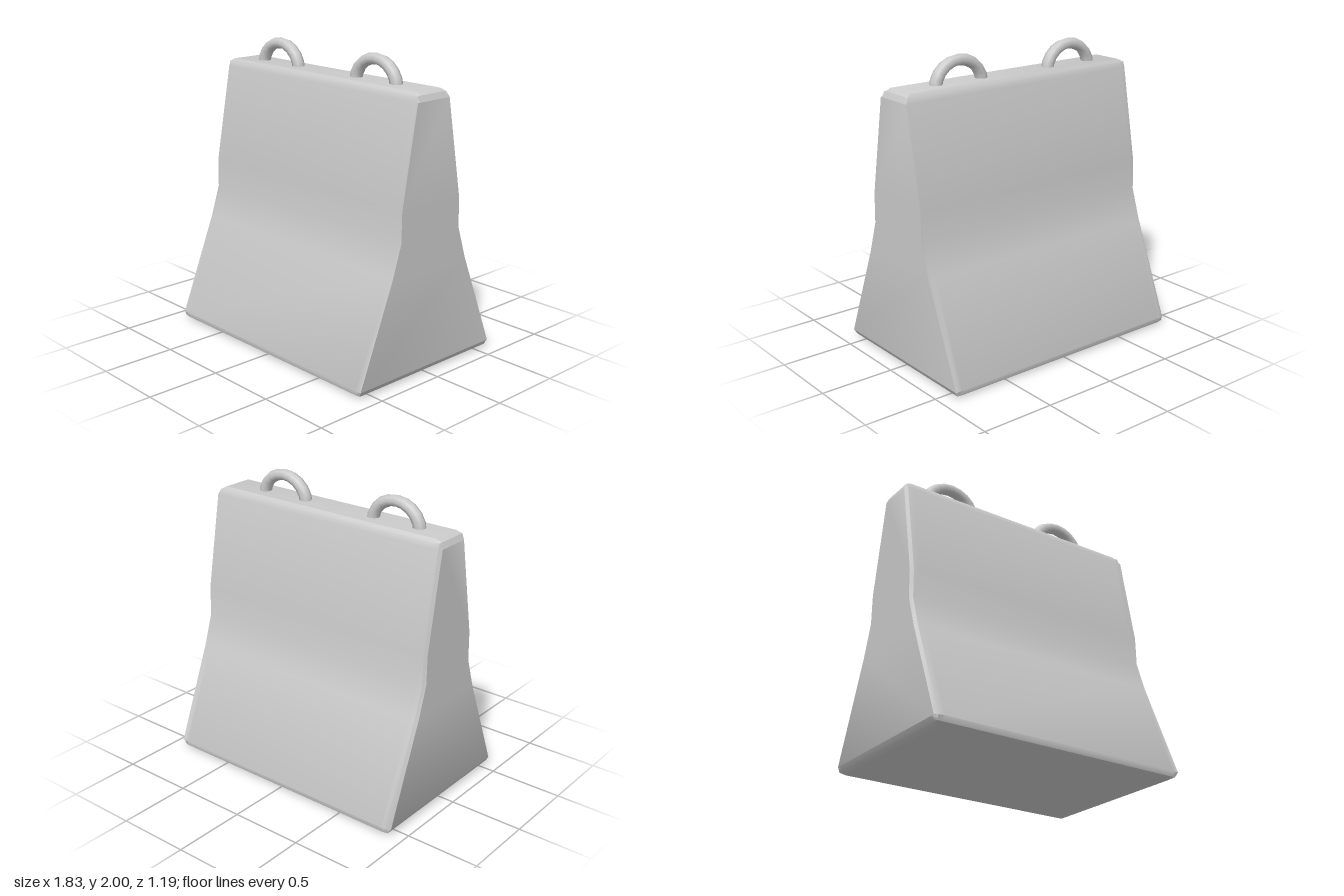
import * as THREE from 'three';
import { toCreasedNormals } from 'three/addons/utils/BufferGeometryUtils.js';

// Half of the barrier's cross-section, bottom to top: [half depth, height]
const PROFILE = [
  [0.555, 0], [0.585, 0.015], [0.595, 0.05], [0.33, 0.71], [0.262, 0.92],
  [0.258, 1.12], [0.14, 1.77], [0.128, 1.805], [0.107, 1.825],
];

// Sections along the length: x, lowest y, highest y, depth inset
const STATIONS = [
  [-0.915, 0.05, 1.77, 0.025], [-0.897, 0.018, 1.808, 0.005], [-0.86, 0, 1.825, 0],
  [0.86, 0, 1.825, 0], [0.893, 0.018, 1.808, 0], [0.91, 0.05, 1.77, 0],
];

function barrierGeometry() {
  const half = PROFILE.length;
  const n = half * 2;
  const positions = [];
  const index = [];

  for (const [x, low, high, inset] of STATIONS) {
    const points = PROFILE.map(([z, y]) => [z - inset, THREE.MathUtils.clamp(y, low, high)]);
    for (const [z, y] of points) positions.push(x, y, z);
    for (const [z, y] of points.reverse()) positions.push(x, y, -z);
  }

  // Skin between neighbouring sections
  for (let i = 0; i < STATIONS.length - 1; i++) {
    for (let j = 0; j < n; j++) {
      const k = (j + 1) % n;
      const a = i * n + j, b = i * n + k, c = b + n, d = a + n;
      index.push(a, d, c, a, c, b);
    }
  }

  // Flat ends, as strips from the front half to the back half
  const last = (STATIONS.length - 1) * n;
  for (let j = 2; j < half - 3; j++) {
    const a = j, b = j + 1, c = n - 2 - j, d = n - 1 - j;
    index.push(a, b, c, a, c, d);
    index.push(last + a, last + c, last + b, last + a, last + d, last + c);
  }

  const geometry = new THREE.BufferGeometry();
  geometry.setAttribute('position', new THREE.Float32BufferAttribute(positions, 3));
  geometry.setIndex(index);
  return toCreasedNormals(geometry, THREE.MathUtils.degToRad(38));
}

export function createModel() {
  const model = new THREE.Group();
  model.name = 'concreteBarrier';
  const material = new THREE.MeshStandardMaterial({ color: 0xcccccc });

  const body = new THREE.Mesh(barrierGeometry(), material);
  body.name = 'barrierBody';
  model.add(body);

  // Two lifting loops sunk slightly into the top
  const loop = new THREE.TorusGeometry(0.18, 0.042, 8, 10, Math.PI);
  loop.scale(1, 0.9, 1);
  [['rightLiftingLoop', -0.49], ['leftLiftingLoop', 0.42]].forEach(([name, x]) => {
    const mesh = new THREE.Mesh(loop, material);
    mesh.name = name;
    mesh.position.set(x, 1.8, 0);
    model.add(mesh);
  });

  return model;
}
